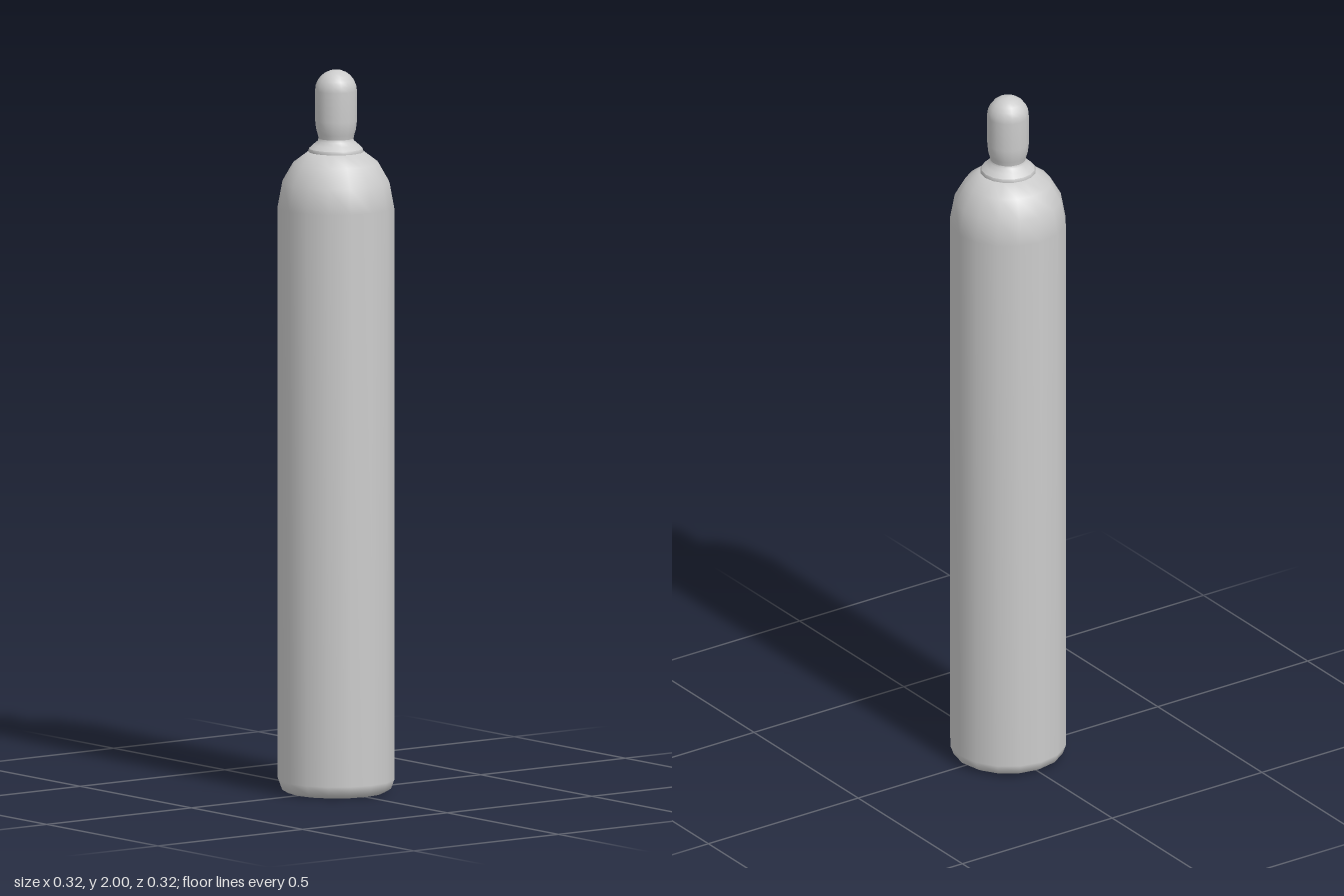
import * as THREE from 'three';

const SIDES = 16;

// Revolve a [radius, height] profile, listed from bottom to top
function turned(name, profile, material) {
  const points = profile.map(([r, y]) => new THREE.Vector2(r, y));
  const mesh = new THREE.Mesh(new THREE.LatheGeometry(points, SIDES), material);
  mesh.name = name;
  return mesh;
}

export function createModel() {
  const group = new THREE.Group();
  group.name = 'gasCylinder';
  const grey = new THREE.MeshStandardMaterial({ color: 0xcccccc, side: THREE.DoubleSide });

  // Tall tank: closed base, rounded foot, straight wall, domed shoulder
  group.add(turned('tank', [
    [0, 0], [0.135, 0], [0.152, 0.01], [0.161, 0.035],
    [0.161, 1.62], [0.148, 1.69], [0.118, 1.742], [0.077, 1.773], [0, 1.785],
  ], grey));

  // Neck collar: short rim sloping up to the cap seat
  group.add(turned('collarRim', [[0.074, 1.768], [0.077, 1.774], [0.074, 1.782]], grey));
  group.add(turned('collar', [[0.074, 1.782], [0.062, 1.793], [0.05, 1.803], [0.048, 1.812]], grey));

  // Valve cap: slightly flared foot, straight wall, hemispherical top
  const cap = [[0.048, 1.808], [0.051, 1.822], [0.055, 1.835], [0.058, 1.86]];
  const radius = 0.058;
  for (let i = 0; i <= 6; i++) {
    const a = (i / 6) * Math.PI / 2;
    cap.push([i === 6 ? 0 : radius * Math.cos(a), 2 - radius + radius * Math.sin(a)]);
  }
  group.add(turned('valveCap', cap, grey));

  return group;
}
